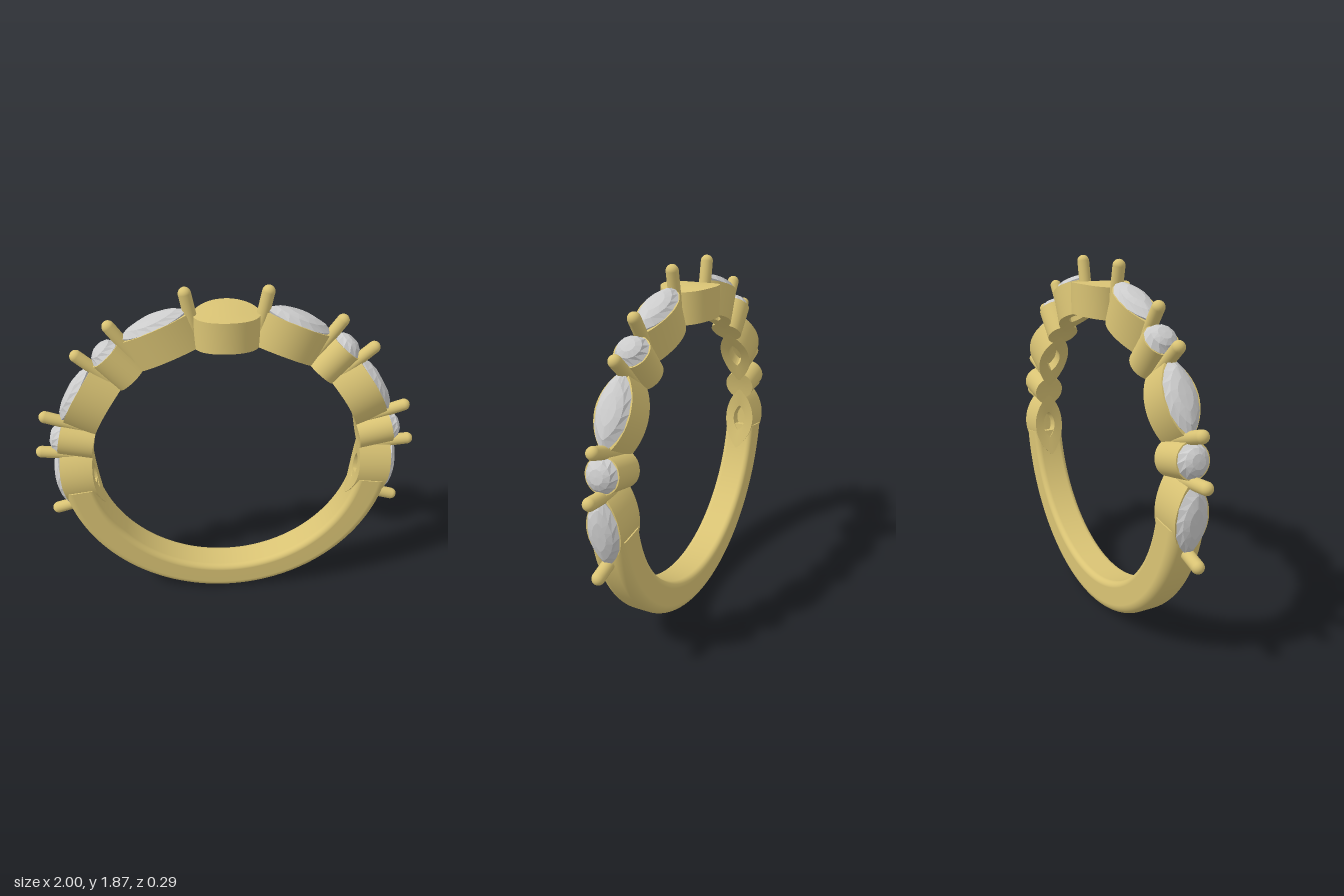
import * as THREE from 'three';
import { toCreasedNormals } from 'three/addons/utils/BufferGeometryUtils.js';

const CENTRE_Y = 0.885, INNER = 0.71;
const rad = THREE.MathUtils.degToRad;
const gold = new THREE.MeshStandardMaterial({ color: 0xd9c374 });
const gem = new THREE.MeshStandardMaterial({ color: 0xcccccc, flatShading: true });

// Outline point of a seat or stone: power 1 is an ellipse, higher is a pointed marquise
function outline(t, length, width, power) {
  const s = Math.sin(t);
  return [length * Math.cos(t), width * Math.sign(s) * Math.abs(s) ** power];
}

// Loft between scaled outlines, listed from the outside inward as [scale, radius, twist].
// Curved lofts follow the circle of the ring, others stay flat.
function loft({ length, width, power }, rings, sides, curved) {
  const pos = [];
  const point = ([scale, r, twist = 0], i) => {
    const [a, b] = outline(((i + twist) / sides) * Math.PI * 2, length * scale, width * scale, power);
    return [a, curved ? Math.sqrt(r * r - a * a) : r, b];
  };
  for (let k = 0; k < rings.length - 1; k++) {
    for (let i = 0; i < sides; i++) {
      const A = point(rings[k], i), B = point(rings[k], i + 1);
      const C = point(rings[k + 1], i), D = point(rings[k + 1], i + 1);
      if (rings[k][0] > 0) pos.push(...A, ...B, ...C);
      if (rings[k + 1][0] > 0) pos.push(...B, ...D, ...C);
    }
  }
  const geo = new THREE.BufferGeometry();
  geo.setAttribute('position', new THREE.Float32BufferAttribute(pos, 3));
  geo.computeVertexNormals();
  return geo;
}

// Solid seat between the finger hole and the given outer radius, optionally recessed inside
function seatGeometry(shape, outer, recessed) {
  const rings = [[0, outer], [0.5, outer], [1, outer], [1, INNER]];
  if (recessed) rings.push([0.42, INNER], [0.36, INNER + 0.05], [0, INNER + 0.05]);
  else rings.push([0.5, INNER], [0, INNER]);
  return toCreasedNormals(loft(shape, rings, 48, true), 0.5);
}

// Faceted crown with a closed underside
function stoneGeometry(shape, girdle, top, sides) {
  const h = top - girdle;
  return loft(shape, [
    [0, top], [0.42, top - h * 0.05, 0], [0.74, girdle + h * 0.65, 0.5],
    [1, girdle, 0], [0.95, girdle - 0.01, 0], [0, girdle - 0.06],
  ], sides, false);
}

export function createModel() {
  const model = new THREE.Group();

  // Mesh set on the ring at an angle (degrees) from the top
  const place = (name, geometry, material, angle) => {
    const mesh = new THREE.Mesh(geometry, material);
    mesh.name = name;
    mesh.position.y = CENTRE_Y;
    mesh.rotation.z = -rad(angle);
    model.add(mesh);
  };

  // Lower band: rounded section swept around the bottom
  const section = new THREE.Shape();
  const corner = (x, y, r, start) =>
    section.absarc(x, y, r, start * Math.PI / 2, (start + 1) * Math.PI / 2, false);
  const ri = 0.714, ro = CENTRE_Y, hw = 0.09, co = 0.05, ci = 0.03;
  corner(ri + ci, -hw + ci, ci, 2);
  corner(ro - co, -hw + co, co, 3);
  corner(ro - co, hw - co, co, 0);
  corner(ri + ci, hw - ci, ci, 1);
  section.closePath();
  const end = rad(81.5);
  const band = new THREE.LatheGeometry(section.getPoints(8), 96, -end, end * 2);
  band.rotateX(Math.PI / 2);
  place('band', band, gold, 0);
  for (const side of [-1, 1]) {
    const cap = new THREE.ShapeGeometry(section, 8);
    cap.rotateX(Math.PI / 2).rotateZ(side * end - Math.PI / 2);
    const capMaterial = gold.clone();
    capMaterial.side = THREE.DoubleSide;
    place('bandEnd', cap, capMaterial, 0);
  }

  // Plain round head at the top
  place('head', seatGeometry({ length: 0.16, width: 0.143, power: 1 }, 0.865, false), gold, 0);

  // Alternating marquise and round settings down both shoulders
  const marquiseSeat = seatGeometry({ length: 0.19, width: 0.088, power: 1.7 }, 0.88, true);
  const marquiseStone = stoneGeometry({ length: 0.178, width: 0.085, power: 1.6 }, 0.877, 0.918, 16);
  const roundSeat = seatGeometry({ length: 0.086, width: 0.086, power: 1 }, 0.885, false);
  const roundStone = stoneGeometry({ length: 0.082, width: 0.082, power: 1 }, 0.884, 0.933, 12);

  // Round-tipped prongs between the settings
  const prong = new THREE.CapsuleGeometry(0.031, 0.223, 8, 20);
  prong.translate(0, 0.862, 0);

  for (const side of [-1, 1]) {
    for (const angle of [23.2, 59.6, 95.3]) {
      place('marquiseSeat', marquiseSeat, gold, side * angle);
      place('marquiseStone', marquiseStone, gem, side * angle);
    }
    for (const angle of [41.4, 77.6]) {
      place('roundSeat', roundSeat, gold, side * angle);
      place('roundStone', roundStone, gem, side * angle);
    }
    for (const angle of [11.5, 34.8, 48, 71.2, 84, 106.6]) place('prong', prong, gold, side * angle);
  }
  return model;
}
